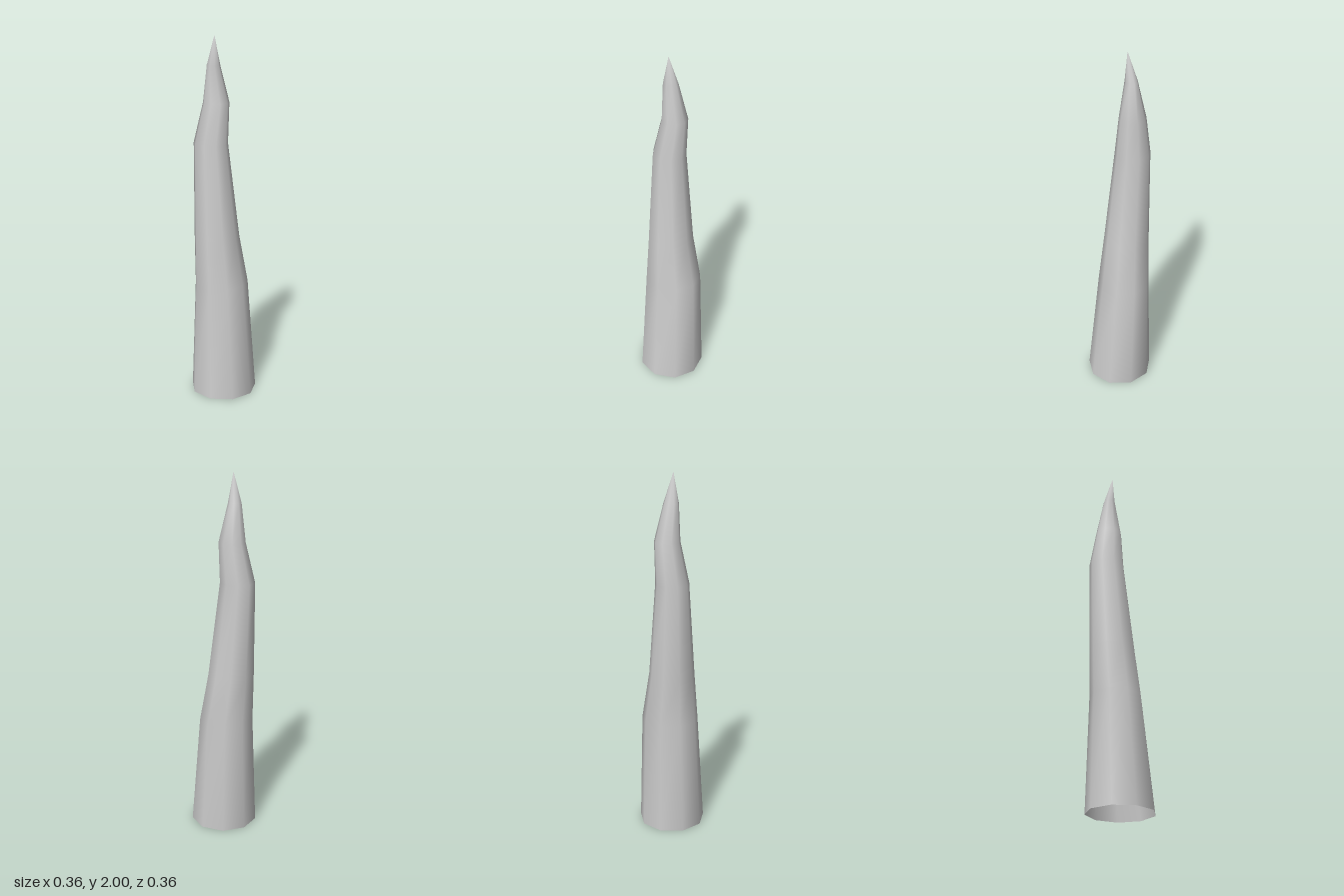
import * as THREE from 'three';

const SIDES = 9;
const PHASE = -0.166;

// Cross-sections from base to top: height, centre x, centre z, radius x, radius z
const RINGS = [
  [0, 0, 0.004, 0.184, 0.184],
  [0.63, -0.025, -0.003, 0.142, 0.157],
  [0.9, -0.046, 0.011, 0.126, 0.126],
  [1.42, -0.081, 0.019, 0.0975, 0.091],
  [1.64, -0.0675, -0.01, 0.0735, 0.07],
  [1.84, -0.0675, 0.011, 0.033, 0.041],
];
const TIP = [-0.05, 2, 0.02];

// Tapered, slightly bent nine-sided shell, open at the base
function spikeGeometry() {
  const positions = [];
  const index = [];
  for (const [y, cx, cz, rx, rz] of RINGS) {
    for (let i = 0; i < SIDES; i++) {
      const a = PHASE + (i / SIDES) * Math.PI * 2;
      positions.push(cx + Math.cos(a) * rx, y, cz + Math.sin(a) * rz);
    }
  }
  positions.push(...TIP);
  const tip = RINGS.length * SIDES;

  for (let r = 0; r < RINGS.length; r++) {
    for (let i = 0; i < SIDES; i++) {
      const a = r * SIDES + i;
      const b = r * SIDES + ((i + 1) % SIDES);
      if (r === RINGS.length - 1) index.push(a, tip, b);
      else index.push(a, a + SIDES, b, b, a + SIDES, b + SIDES);
    }
  }

  const geometry = new THREE.BufferGeometry();
  geometry.setAttribute('position', new THREE.Float32BufferAttribute(positions, 3));
  geometry.setIndex(index);
  geometry.computeVertexNormals();
  return geometry;
}

export function createModel() {
  const group = new THREE.Group();
  group.name = 'spikeModel';
  const material = new THREE.MeshStandardMaterial({ color: 0xcccccc, side: THREE.DoubleSide });
  const spike = new THREE.Mesh(spikeGeometry(), material);
  spike.name = 'spike';
  group.add(spike);
  return group;
}
